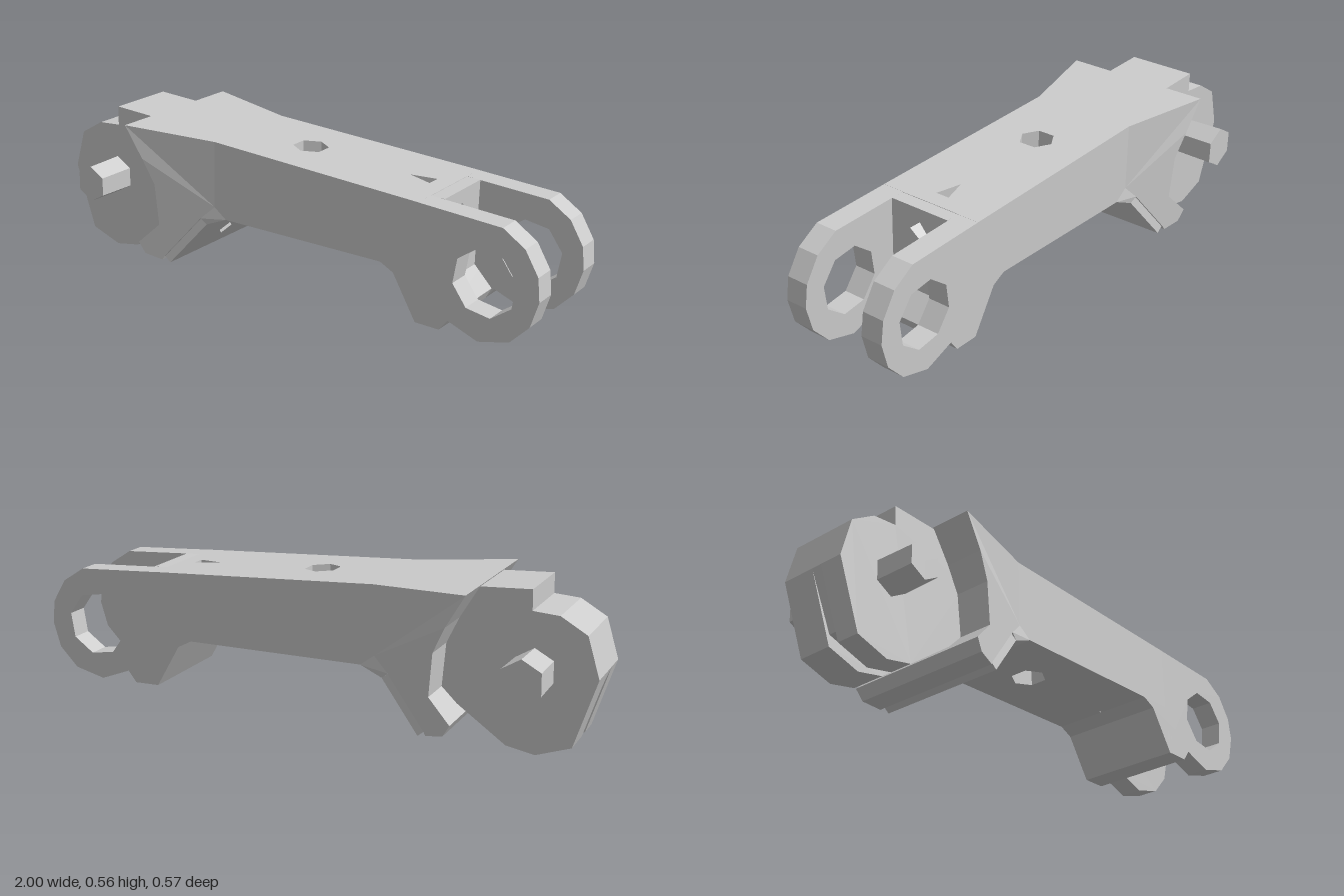
import * as THREE from 'three';

const material = new THREE.MeshStandardMaterial({ color: 0xcccccc, flatShading: true });

const toPoints = (pts) => pts.map(([x, y]) => new THREE.Vector2(x, y));
const ngon = (cx, cy, r, n, turn = 0) => Array.from({ length: n }, (_, i) => {
  const a = turn + (i / n) * Math.PI * 2;
  return [cx + r * Math.cos(a), cy + r * Math.sin(a)];
});

// Extrude an outline with optional holes from z0 to z1
function slab(outline, z0, z1, holes = []) {
  const shape = new THREE.Shape(toPoints(outline));
  shape.holes = holes.map((h) => new THREE.Path(toPoints(h)));
  const geo = new THREE.ExtrudeGeometry(shape, { depth: z1 - z0, bevelEnabled: false });
  return geo.translate(0, 0, z0);
}

// Move every vertex by a rule
function reshape(geo, rule) {
  const p = geo.attributes.position;
  const v = new THREE.Vector3();
  for (let i = 0; i < p.count; i++) {
    rule(v.fromBufferAttribute(p, i));
    p.setXYZ(i, v.x, v.y, v.z);
  }
  geo.computeVertexNormals();
  return geo;
}

const W = 0.195;      // half width of the beam
const SLOT = 0.115;   // half width of the fork slot
const topY = (x) => 0.531 - 0.034 * x;
const bottomY = (x) => 0.268 + 0.018 * x;
const flareWidth = (x) => W + 0.08 * THREE.MathUtils.clamp((-0.27 - x) / 0.3, 0, 1);

export function createModel() {
  const model = new THREE.Group();
  model.name = 'hingedLink';
  const add = (name, geo) => {
    const mesh = new THREE.Mesh(geo, material);
    mesh.name = name;
    model.add(mesh);
    return mesh;
  };

  // Beam: plan outline with vertical holes, stretched between bottom and top lines
  const plan = [[-0.27, -W], [0.55, -W], [0.55, W], [-0.27, W]];
  const planHoles = [ngon(0, 0, 0.062, 6, Math.PI / 2), [[0.4, 0], [0.49, -0.025], [0.49, 0.025]]];
  const beam = slab(plan, 0, 1, planHoles).rotateX(-Math.PI / 2);
  add('beam', reshape(beam, (v) => { v.y = THREE.MathUtils.lerp(bottomY(v.x), topY(v.x), v.y); }));

  // Flared shoulder with a concave end and a foot
  const shoulder = slab([
    [-0.61, 0.552], [-0.54, 0.44], [-0.495, 0.35], [-0.48, 0.2], [-0.56, 0.12], [-0.535, 0.08],
    [-0.47, 0.066], [-0.463, 0.079], [-0.323, 0.249], [-0.3, 0.23], [-0.22, 0.264],
    [-0.27, 0.3], [-0.27, 0.54],
  ], -1, 1);
  add('shoulder', reshape(shoulder, (v) => { v.z *= flareWidth(v.x); }));

  // Sloped plate with a screw hole on the foot
  const d = new THREE.Vector3(0.636, 0.772, 0);
  const n = new THREE.Vector3(0.772, -0.636, 0);
  const w0 = flareWidth(-0.44), w1 = flareWidth(-0.3);
  const plate = slab([[-w0, 0], [w0, 0], [w1, 0.22], [-w1, 0.22]], -0.03, 0, [ngon(0, 0.1, 0.035, 4)]);
  plate.applyMatrix4(new THREE.Matrix4()
    .makeBasis(new THREE.Vector3(0, 0, -1), d, n).setPosition(-0.44, 0.06, 0));
  add('footPlate', plate);

  // Fork: two prongs with eyes
  const prong = [
    [0.55, 0.512], [0.85, 0.5], [0.93, 0.45], [0.98, 0.37], [0.99, 0.29], [0.965, 0.2],
    [0.9, 0.13], [0.79, 0.1], [0.68, 0.14], [0.65, 0.1], [0.56, 0.1], [0.55, 0.12],
  ];
  const eye = ngon(0.8, 0.302, 0.115, 8, 0.25);
  add('leftProng', slab(prong, SLOT, W, [eye]));
  add('rightProng', slab(prong, -W, -SLOT, [eye]));

  // Foot under the fork and the wall at the base of its slot
  add('forkFoot', slab([
    [0.41, 0.28], [0.47, 0.25], [0.56, 0.1], [0.65, 0.1], [0.67, 0.14], [0.6, 0.21], [0.55, 0.28],
  ], -W, W));
  add('slotWall', slab(
    [[-SLOT, 0.2], [SLOT, 0.2], [SLOT, 0.511], [-SLOT, 0.511]], 0.55, 0.6,
    [[[0, 0.465], [-0.04, 0.43], [0, 0.4], [0.03, 0.43]]],
  ).rotateY(Math.PI / 2));

  // Hinge head: two lobes with a shallow groove underneath
  const head = (lift) => [
    [-1, 0.28], [-0.96, 0.42], [-0.87, 0.475], [-0.78, 0.483], [-0.78, 0.553], [-0.55, 0.545],
    [-0.46, 0.4], [-0.46, 0.2], [-0.57, 0.12 + lift], [-0.7, 0.025 + lift],
    [-0.8, 0.005 + lift], [-0.92, 0.045 + lift],
  ];
  add('headLeftLobe', slab(head(0), 0.04, 0.125));
  add('headRightLobe', slab(head(0), -0.125, 0));
  add('headCore', slab(head(0.04), 0, 0.04));

  // Pivot pin through the head
  const pin = new THREE.CylinderGeometry(0.066, 0.076, 0.54, 6).rotateX(Math.PI / 2);
  add('pivotPin', pin.translate(-0.79, 0.29, 0));

  // The link sits with a slight yaw and roll
  model.rotation.set(-0.03, 0.055, 0);
  model.position.set(0, 0, -0.026);
  const root = new THREE.Group();
  root.name = 'link';
  root.add(model);
  return root;
}
